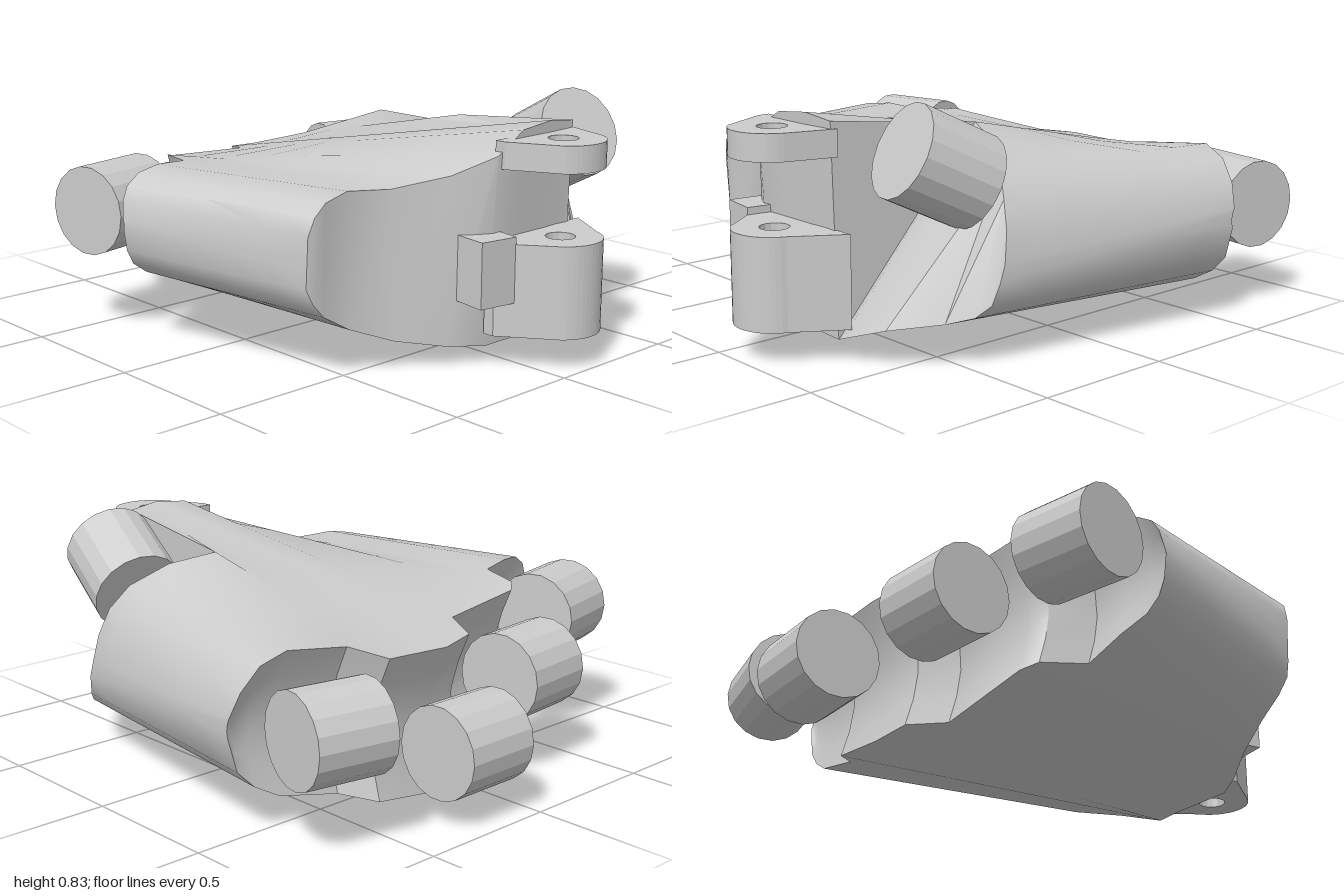
import * as THREE from 'three';
import { toCreasedNormals } from 'three/addons/utils/BufferGeometryUtils.js';

// Palm columns from right to left: front edge [x, zTop, zBottom, yTop, yBottom]
const FRONT = [
  [-0.67, 0.50, 0.50, 0.42, 0.38], [-0.665, 0.52, 0.51, 0.49, 0.32], [-0.645, 0.53, 0.52, 0.55, 0.27],
  [-0.60, 0.53, 0.52, 0.59, 0.22], [-0.50, 0.52, 0.53, 0.61, 0.16], [-0.35, 0.56, 0.58, 0.60, 0.10],
  [-0.20, 0.68, 0.67, 0.64, 0.07], [-0.08, 0.77, 0.73, 0.70, 0.06], [0.04, 0.77, 0.73, 0.77, 0.06],
  [0.18, 0.77, 0.73, 0.785, 0.06], [0.30, 0.76, 0.74, 0.77, 0.06], [0.35, 0.20, 0.76, 0.71, 0.08],
  [0.50, 0.27, 0.71, 0.68, 0.13], [0.62, 0.34, 0.57, 0.61, 0.15], [0.68, 0.38, 0.50, 0.53, 0.17],
  [0.715, 0.40, 0.46, 0.44, 0.21], [0.73, 0.42, 0.44, 0.34, 0.28],
];
// Knuckle edge of the same columns: [x, z, yTop, yBottom]
const BACK = [
  [-0.85, -0.20, 0.45, 0.41], [-0.84, -0.21, 0.51, 0.34], [-0.815, -0.22, 0.555, 0.29],
  [-0.76, -0.23, 0.59, 0.25], [-0.66, -0.26, 0.60, 0.21], [-0.53, -0.29, 0.59, 0.15],
  [-0.48, -0.45, 0.58, 0.13], [-0.43, -0.49, 0.565, 0.11], [-0.08, -0.53, 0.54, 0.04],
  [-0.02, -0.66, 0.52, 0.02], [0.12, -0.69, 0.51, 0.00], [0.37, -0.68, 0.52, 0.03],
  [0.47, -0.59, 0.56, 0.06], [0.70, -0.57, 0.59, 0.11], [0.79, -0.55, 0.555, 0.16],
  [0.85, -0.53, 0.48, 0.22], [0.88, -0.51, 0.40, 0.33],
];

// Skin the closed loops that run front, top, back and underside
function palmGeometry() {
  const rows = 6, socketRows = 5;
  const rings = FRONT.map(([fx, fzt, fzb, fyt, fyb], c) => {
    const [bx, bz, byt, byb] = BACK[c];
    const h = byt - byb;
    const ft = new THREE.Vector3(fx, fyt, fzt), fb = new THREE.Vector3(fx, fyb, fzb);
    const bt = new THREE.Vector3(bx, byt, bz), bb = new THREE.Vector3(bx, byb, bz + 0.08 * h);
    const ring = [];
    // top rows line up across the palm behind the thumb cut at z = 0.2
    const cut = Math.max(0, (fzt - 0.2) / (fzt - bz));
    for (let r = 0; r <= rows; r++) {
      const t = r < 2 ? cut * r / 2 : cut + (1 - cut) * (r - 1) / (rows - 1);
      ring.push(ft.clone().lerp(bt, t));
    }
    // hollow knuckle socket
    for (let r = 1; r < socketRows; r++) {
      const p = bt.clone().lerp(bb, r / socketRows);
      p.z += 0.12 * h * Math.sin(Math.PI * r / socketRows);
      ring.push(p);
    }
    for (let r = 0; r <= rows; r++) ring.push(bb.clone().lerp(fb, r / rows));
    return ring;
  });
  const n = rings[0].length, last = rings.length - 1;
  const pos = [], index = [];
  rings.flat().forEach((p) => pos.push(p.x, p.y, p.z));
  for (let c = 0; c < last; c++) {
    for (let i = 0; i < n; i++) {
      const a = c * n + i, b = c * n + (i + 1) % n;
      index.push(a, a + n, b + n, a, b + n, b);
    }
  }
  // close both side edges
  for (const c of [0, last]) {
    const centre = new THREE.Vector3();
    rings[c].forEach((p) => centre.addScaledVector(p, 1 / n));
    const k = pos.length / 3;
    pos.push(centre.x, centre.y, centre.z);
    for (let i = 0; i < n; i++) {
      const a = c * n + i, b = c * n + (i + 1) % n;
      if (c === 0) index.push(k, a, b);
      else index.push(k, b, a);
    }
  }
  const g = new THREE.BufferGeometry();
  g.setAttribute('position', new THREE.Float32BufferAttribute(pos, 3));
  g.setIndex(index);
  return toCreasedNormals(g, 0.6);
}

// Tapered tongue with a round tip and a pin hole; left and right are the base ends
function lugGeometry(yBottom, yTop, left, right) {
  const cx = 0.13, cz = 0.86, r = 0.14;
  const s = new THREE.Shape();
  s.moveTo(left, 0.74);
  s.lineTo(right, 0.74);
  s.absarc(cx, cz, r, 0.35, Math.PI - 0.75, false);
  s.lineTo(left, 0.78);
  s.closePath();
  const hole = new THREE.Path();
  hole.absarc(cx, cz, 0.05, 0, Math.PI * 2, true);
  s.holes.push(hole);
  const g = new THREE.ExtrudeGeometry(s, { depth: yTop - yBottom, bevelEnabled: false, curveSegments: 8 });
  g.rotateX(Math.PI / 2);
  g.translate(0, yTop, 0);
  return g;
}

export function createModel() {
  const model = new THREE.Group();
  const grey = new THREE.MeshStandardMaterial({ color: 0xcccccc });
  grey.name = 'light grey';

  const add = (name, geometry) => {
    const mesh = new THREE.Mesh(geometry, grey);
    mesh.name = name;
    model.add(mesh);
    return mesh;
  };

  add('palm', palmGeometry());

  // Wrist fork
  add('upperWristLug', lugGeometry(0.655, 0.745, -0.06, 0.31));
  add('lowerWristLug', lugGeometry(0.11, 0.42, -0.1, 0.37));
  const stop = add('wristStop', new THREE.BoxGeometry(0.14, 0.22, 0.16));
  stop.position.set(-0.115, 0.335, 0.745);
  stop.rotation.y = -0.15;

  // Finger joint barrels: x, y, z, turn
  const barrel = (radius, length) =>
    toCreasedNormals(new THREE.CylinderGeometry(radius, radius, length, 18), 0.3);
  [
    [-0.715, 0.44, -0.44, 0.22],
    [-0.30, 0.34, -0.66, 0.1],
    [0.185, 0.24, -0.845, 0],
    [0.68, 0.37, -0.745, -0.18],
  ].forEach(([x, y, z, turn], i) => {
    const g = barrel(0.155, 0.28);
    g.rotateZ(Math.PI / 2);
    const joint = add('fingerJoint' + (i + 1), g);
    joint.position.set(x, y, z);
    joint.rotation.y = turn;
  });

  // Thumb joint barrel
  const front = new THREE.Vector3(0.495, 0.69, 0.635), rear = new THREE.Vector3(0.55, 0.565, 0.385);
  const axis = front.clone().sub(rear);
  const thumb = add('thumbJoint', barrel(0.16, axis.length()));
  thumb.position.copy(front).add(rear).multiplyScalar(0.5);
  thumb.quaternion.setFromUnitVectors(new THREE.Vector3(0, 1, 0), axis.normalize());

  return model;
}
